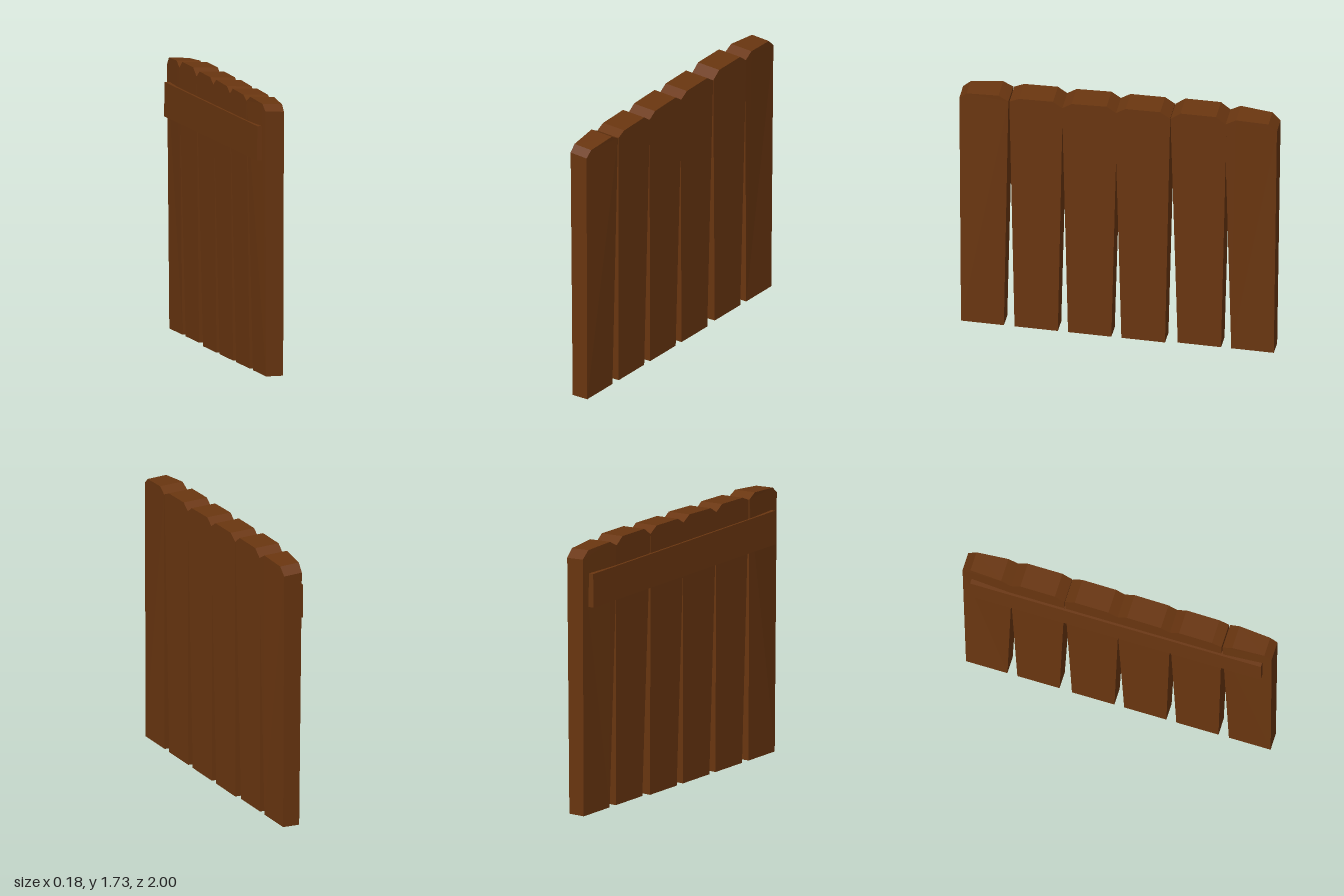
import * as THREE from 'three';

const wood = new THREE.MeshStandardMaterial({ color: 0x6a3610 });
wood.name = 'brown wood';

// Each plank: bottom y, bottom z pair, then four top points [z, y] from +z to -z
const PLANKS = [
  [0, 0.99, 0.72, [[1, 1.66], [0.953, 1.7], [0.75, 1.716], [0.688, 1.682]]],
  [0, 0.653, 0.38, [[0.682, 1.682], [0.62, 1.71], [0.407, 1.716], [0.346, 1.675]]],
  [0, 0.316, 0.043, [[0.35, 1.675], [0.29, 1.714], [0.07, 1.722], [0.002, 1.678]]],
  [0, -0.02, -0.295, [[0.018, 1.678], [-0.05, 1.72], [-0.268, 1.724], [-0.331, 1.683]]],
  [0.01, -0.375, -0.648, [[-0.333, 1.683], [-0.396, 1.73], [-0.62, 1.732], [-0.686, 1.682]]],
  [0.01, -0.712, -0.98, [[-0.674, 1.682], [-0.745, 1.722], [-0.948, 1.71], [-1, 1.66]]],
];

function plankGeometry([y0, zA, zB, top]) {
  const outline = [[zA, y0], [zB, y0], ...[...top].reverse()];
  const shape = new THREE.Shape(outline.map(([z, y]) => new THREE.Vector2(-z, y)));
  const geo = new THREE.ExtrudeGeometry(shape, { depth: 1, bevelEnabled: false });
  geo.rotateY(Math.PI / 2);

  // Thicken towards the top, less so at the two ends of the row
  const p = geo.attributes.position;
  for (let i = 0; i < p.count; i++) {
    const side = p.getX(i) > 0.5, y = p.getY(i), z = p.getZ(i);
    const t = y / 1.72;
    const end = THREE.MathUtils.clamp((Math.abs(z) - 0.7) / 0.3, 0, 1);
    const x = side
      ? THREE.MathUtils.lerp(0.065, 0.084 - 0.017 * end, t)
      : THREE.MathUtils.lerp(-0.045, -0.076 + 0.022 * end, t);
    p.setX(i, x);
    if (side && y > 1) p.setY(i, y - 0.008);
  }
  geo.computeVertexNormals();
  return geo;
}

export function createModel() {
  const fence = new THREE.Group();
  fence.name = 'woodenFence';

  PLANKS.forEach((plank, i) => {
    const mesh = new THREE.Mesh(plankGeometry(plank), wood);
    mesh.name = `plank${i + 1}`;
    fence.add(mesh);
  });

  // Cross rail on the back of the planks, turned slightly
  const rail = new THREE.Mesh(new THREE.BoxGeometry(0.04, 0.215, 1.88), wood);
  rail.name = 'crossRail';
  rail.position.set(-0.069, 1.452, 0);
  rail.rotation.set(0, 0.0015, -0.015);
  fence.add(rail);

  return fence;
}
